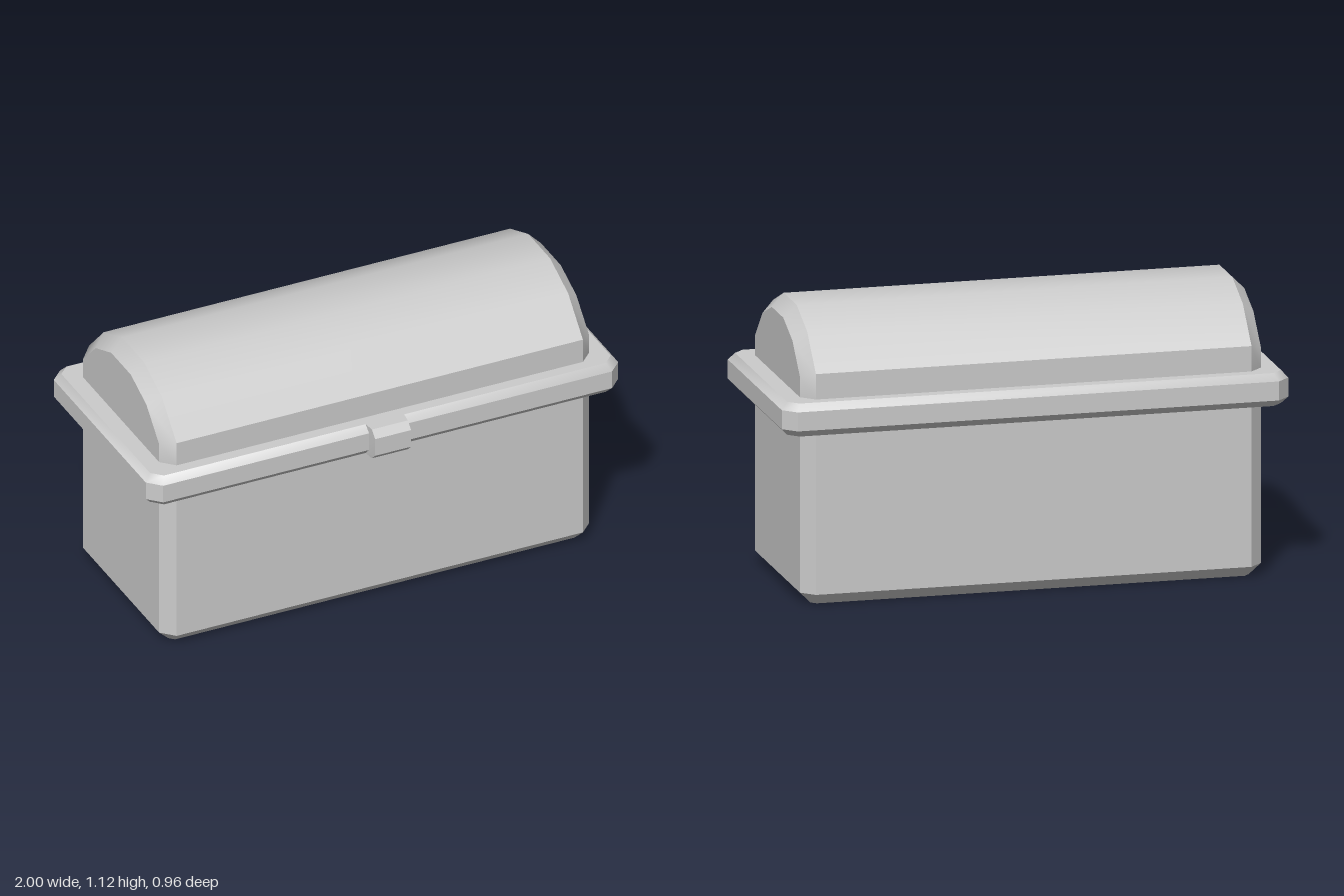
import * as THREE from 'three';
import { toCreasedNormals } from 'three/addons/utils/BufferGeometryUtils.js';

const ZC = -0.0225; // centre of the box; the latch sticks out in front
const material = new THREE.MeshStandardMaterial({ color: 0xcccccc });

// Skin between equal-length rings, listed counter-clockwise as seen from the last ring's side.
function loft(name, rings, { closed = true, capStart = false, capEnd = false } = {}) {
  const n = rings[0].length;
  const index = [];
  for (let r = 0; r < rings.length - 1; r++) {
    for (let i = 0; i < (closed ? n : n - 1); i++) {
      const a = r * n + i, b = r * n + (i + 1) % n;
      index.push(a, b, b + n, a, b + n, a + n);
    }
  }
  const last = (rings.length - 1) * n;
  for (let i = 1; i < n - 1; i++) {
    if (capStart) index.push(0, i + 1, i);
    if (capEnd) index.push(last, last + i, last + i + 1);
  }
  const geometry = new THREE.BufferGeometry();
  geometry.setAttribute('position', new THREE.Float32BufferAttribute(rings.flat(2), 3));
  geometry.setIndex(index);
  const mesh = new THREE.Mesh(toCreasedNormals(geometry, THREE.MathUtils.degToRad(35)), material);
  mesh.name = name;
  return mesh;
}

// Rectangle with cut corners at height y: half width, half depth, corner cut.
function octagon(y, w, d, c) {
  return [
    [w - c, d], [w, d - c], [w, c - d], [w - c, -d],
    [c - w, -d], [-w, c - d], [-w, d - c], [c - w, d],
  ].map(([x, z]) => [x, y, z + ZC]);
}

export function createModel() {
  const group = new THREE.Group();
  group.name = 'chest';

  // Lower box with a bevelled foot
  group.add(loft('body', [
    octagon(0, 0.865, 0.343, 0.02),
    octagon(0.045, 0.91, 0.3875, 0.05),
    octagon(0.685, 0.91, 0.3875, 0.05),
  ], { capStart: true }));

  // Bevelled band around the joint
  group.add(loft('rim', [
    octagon(0.685, 0.91, 0.3875, 0.05),
    octagon(0.685, 0.975, 0.4325, 0.04),
    octagon(0.712, 1, 0.4575, 0.05),
    octagon(0.787, 1, 0.4575, 0.05),
    octagon(0.815, 0.975, 0.4325, 0.04),
    octagon(0.815, 0.91, 0.3875, 0.05),
  ]));

  // Domed lid: arched sections along x, smaller at both ends
  const arch = (x, half) => {
    const side = half.map(([z, y]) => [x, y, z + ZC]);
    const back = half.map(([z, y]) => [x, y, ZC - z]);
    return [...back, ...side.reverse()];
  };
  const outer = [[0.3875, 0.815], [0.3875, 0.915], [0.257, 1.05], [0.097, 1.117]];
  const inner = [[0.3375, 0.815], [0.3375, 0.895], [0.225, 1.01], [0.087, 1.067]];
  group.add(loft('lid', [
    arch(-0.91, inner), arch(-0.86, outer), arch(0.86, outer), arch(0.91, inner),
  ], { closed: false, capStart: true, capEnd: true }));

  // Latch block on the front of the rim, slightly wider at its root
  const latch = (x, root) => [
    [root, 0.685], [root, 0.815], [0.455, 0.815],
    [0.483, 0.787], [0.483, 0.712], [0.455, 0.685],
  ].map(([z, y]) => [z === root ? x * 1.08 : x, y, z]);
  group.add(loft('latch', [latch(-0.076, 0.405), latch(0.076, 0.405)],
    { capStart: true, capEnd: true }));

  return group;
}
